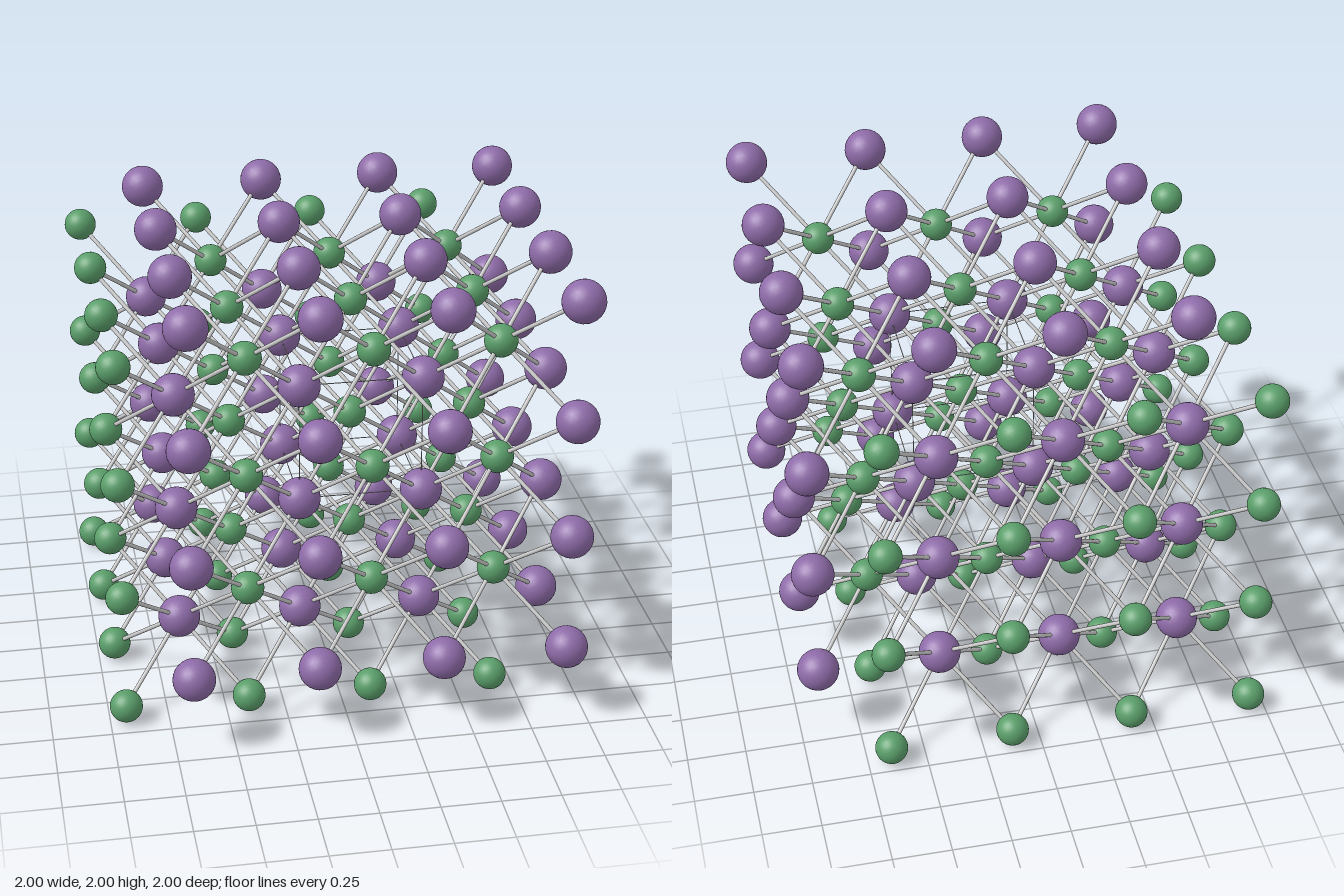
import * as THREE from 'three';

const N = 4;                 // atoms of each kind along an axis
const R_LARGE = 0.09, R_SMALL = 0.07;
const STEP = (2 - R_LARGE - R_SMALL) / (N - 0.5);

export function createModel() {
  const model = new THREE.Group();
  model.name = 'crystalLattice';

  const purple = new THREE.MeshStandardMaterial({ color: 0x8e6ba8 });
  const green = new THREE.MeshStandardMaterial({ color: 0x5a9e6a });
  const grey = new THREE.MeshStandardMaterial({ color: 0xcccccc });

  const addGroup = (name) => {
    const g = new THREE.Group();
    g.name = name;
    model.add(g);
    return g;
  };

  // Lattice sites: the large atoms sit half a step further along every axis
  const small = (i, j, k) => new THREE.Vector3(i, j, k).multiplyScalar(STEP)
    .add(new THREE.Vector3(R_SMALL - 1, R_SMALL, R_SMALL - 1));
  const large = (i, j, k) => small(i + 0.5, j + 0.5, k + 0.5);

  // A round rod between two points
  const UP = new THREE.Vector3(0, 1, 0);
  const addRod = (parent, name, geometry, a, b) => {
    const dir = b.clone().sub(a);
    const rod = new THREE.Mesh(geometry, grey);
    rod.name = name;
    rod.position.copy(a).lerp(b, 0.5);
    rod.scale.y = dir.length();
    rod.quaternion.setFromUnitVectors(UP, dir.normalize());
    parent.add(rod);
  };

  // Visit all index triples below n
  const each = (n, fn) => {
    for (let i = 0; i < n; i++)
      for (let j = 0; j < n; j++)
        for (let k = 0; k < n; k++) fn(i, j, k);
  };

  // Atoms
  const largeAtoms = addGroup('largeAtoms');
  const smallAtoms = addGroup('smallAtoms');
  const largeBall = new THREE.IcosahedronGeometry(R_LARGE, 4);
  const smallBall = new THREE.IcosahedronGeometry(R_SMALL, 4);
  const addAtom = (parent, name, geometry, material, position) => {
    const atom = new THREE.Mesh(geometry, material);
    atom.name = name;
    atom.position.copy(position);
    parent.add(atom);
  };
  each(N, (i, j, k) => {
    addAtom(largeAtoms, 'largeAtom', largeBall, purple, large(i, j, k));
    addAtom(smallAtoms, 'smallAtom', smallBall, green, small(i, j, k));
  });

  // Bonds: each small atom joins its eight large neighbours, except that
  // outer small atoms do not join outer large atoms
  const bonds = addGroup('bonds');
  const bondRod = new THREE.CylinderGeometry(0.009, 0.009, 1, 10, 1, true);
  each(N, (i, j, k) => each(2, (a, b, c) => {
    const s = [i, j, k], l = [i - a, j - b, k - c];
    if (Math.min(...l) < 0) return;
    if (Math.min(...s) === 0 && Math.max(...l) === N - 1) return;
    addRod(bonds, 'bond', bondRod, small(...s), large(...l));
  }));

  // Thin frame of the central unit cell
  const cell = addGroup('unitCellFrame');
  const cellRod = new THREE.CylinderGeometry(0.002, 0.002, 1, 6, 1, true);
  for (let axis = 0; axis < 3; axis++) {
    for (const u of [1, 2]) for (const v of [1, 2]) {
      const from = [u, v], to = [u, v];
      from.splice(axis, 0, 1);
      to.splice(axis, 0, 2);
      addRod(cell, 'cellEdge', cellRod, large(...from), large(...to));
    }
  }

  return model;
}
